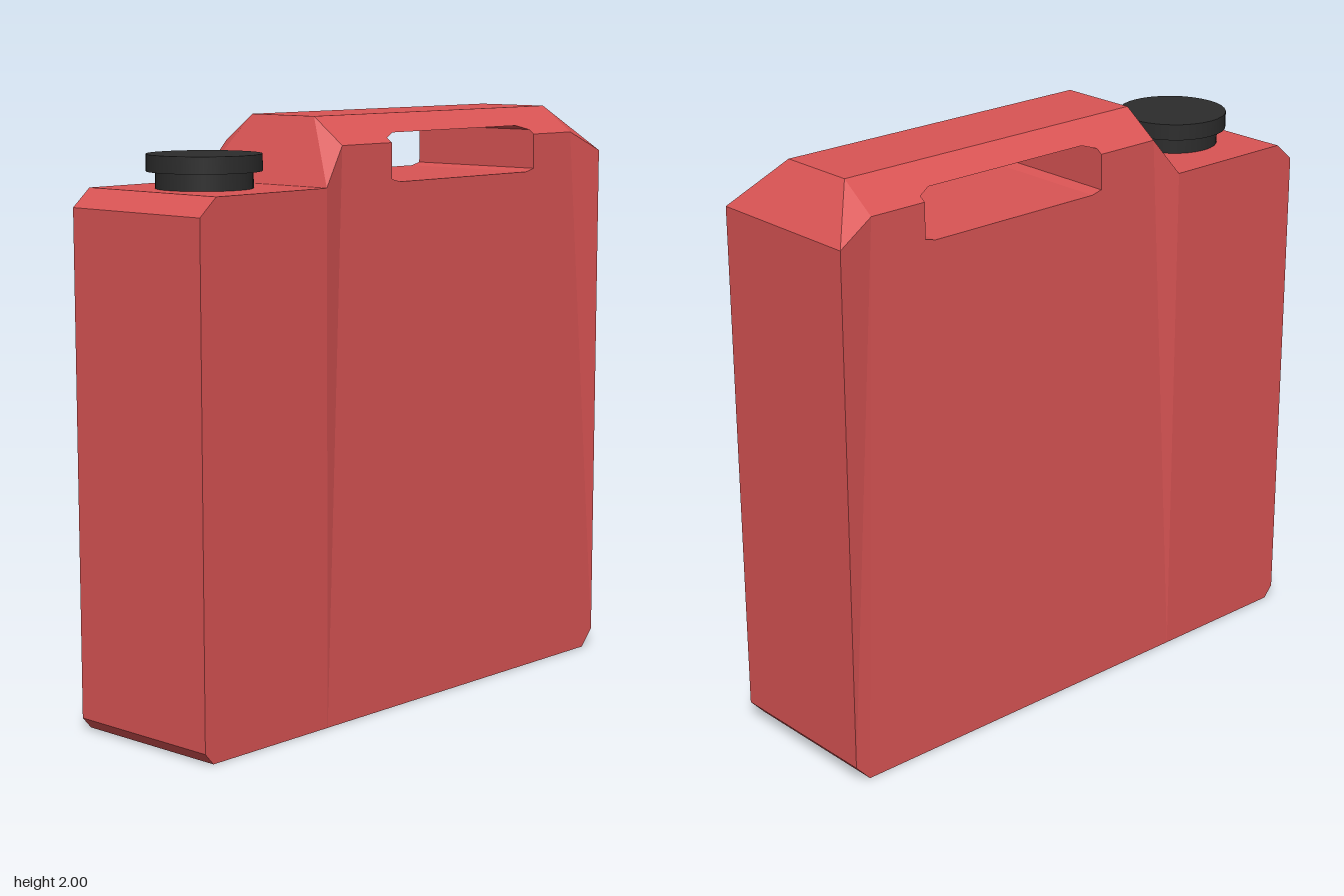
import * as THREE from 'three';

const BODY = new THREE.MeshStandardMaterial({ color: 0xd95454, flatShading: true });
const CAP = new THREE.MeshStandardMaterial({ color: 0x2c2c2c });

const SHOULDER = 1.91, TOP = 2, FRONT = 0.34, BACK = -0.86;

// Half width of the can at a point of its side profile
function halfWidth(z, y) {
  if (z > FRONT + 0.001 || z < BACK - 0.001) return 0.29;
  if (y <= SHOULDER) return 0.29 - 0.025 * y / SHOULDER;
  return 0.265 - 0.125 * (y - SHOULDER) / (TOP - SHOULDER);
}

// Profile points are [z, y]
const OUTLINE = [
  [BACK, TOP], [FRONT, TOP], [0.44, 1.78], [0.93, 1.78], [1, 1.72], [1, 0.04], [0.965, 0],
  [0.44, 0], [FRONT, 0], [BACK, 0], [-0.945, 0], [-1, 0.06], [-1, 1.84],
];
const HOLE_TOP = [[0.1, SHOULDER], [0.1, 1.925], [0.05, 1.94], [-0.6, 1.94], [-0.65, 1.925], [-0.65, SHOULDER]];
const HOLE_BOTTOM = [[-0.65, SHOULDER], [-0.65, 1.79], [-0.61, 1.78], [0.06, 1.78], [0.1, 1.79], [0.1, SHOULDER]];

// Side panels, mirrored to both sides
const PANELS = [
  // front part below the cap
  [[0.44, 0], [0.965, 0], [1, 0.04], [1, 1.72], [0.93, 1.78], [0.44, 1.78]],
  // narrow transition strip
  [[0.44, 0], [0.44, 1.78], [FRONT, SHOULDER]],
  [[0.44, 0], [FRONT, SHOULDER], [FRONT, 0]],
  // leaning main panel, notched by the grip hole
  [[BACK, 0], [FRONT, 0], [FRONT, SHOULDER], ...[...HOLE_BOTTOM].reverse(), [BACK, SHOULDER]],
  // sloped shoulder, notched by the grip hole
  [[BACK, SHOULDER], ...[...HOLE_TOP].reverse(), [FRONT, SHOULDER], [FRONT, TOP], [BACK, TOP]],
  // back strip
  [[BACK, 0], [-0.945, 0], [-1, 0.06], [-1, 1.84], [BACK, SHOULDER]],
  // corner facets
  [[0.44, 1.78], [FRONT, TOP], [FRONT, SHOULDER]],
  [[-1, 1.84], [BACK, TOP], [BACK, SHOULDER]],
];

function createBody() {
  const pos = [];
  const put = (side, ...pts) => pts.forEach(([z, y]) => pos.push(side * halfWidth(z, y), y, z));

  for (const panel of PANELS) {
    const pts = panel.map(([z, y]) => new THREE.Vector2(z, y));
    for (const face of THREE.ShapeUtils.triangulateShape(pts, [])) {
      let [a, b, c] = face.map((i) => panel[i]);
      const area = (b[0] - a[0]) * (c[1] - a[1]) - (c[0] - a[0]) * (b[1] - a[1]);
      if (area > 0) [b, c] = [c, b];
      put(1, a, b, c);
      put(-1, a, c, b);
    }
  }

  // Strips across the width: outer skin and grip tunnel
  for (const loop of [OUTLINE, [...HOLE_TOP.slice(0, -1), ...HOLE_BOTTOM.slice(0, -1)]]) {
    loop.forEach((a, i) => {
      const b = loop[(i + 1) % loop.length];
      put(-1, a, b);
      put(1, b);
      put(-1, a);
      put(1, b, a);
    });
  }

  const geo = new THREE.BufferGeometry();
  geo.setAttribute('position', new THREE.Float32BufferAttribute(pos, 3));
  geo.computeVertexNormals();
  const mesh = new THREE.Mesh(geo, BODY);
  mesh.name = 'canBody';
  return mesh;
}

function disc(name, radius, y0, y1) {
  const mesh = new THREE.Mesh(new THREE.CylinderGeometry(radius, radius, y1 - y0, 32), CAP);
  mesh.position.set(0, (y0 + y1) / 2, 0.7);
  mesh.name = name;
  return mesh;
}

export function createModel() {
  const model = new THREE.Group();
  model.name = 'fuelCan';

  // Screw cap on its neck
  const cap = new THREE.Group();
  cap.name = 'cap';
  cap.add(disc('capNeck', 0.157, 1.77, 1.835), disc('capLid', 0.186, 1.835, 1.89));

  model.add(createBody(), cap);
  return model;
}
